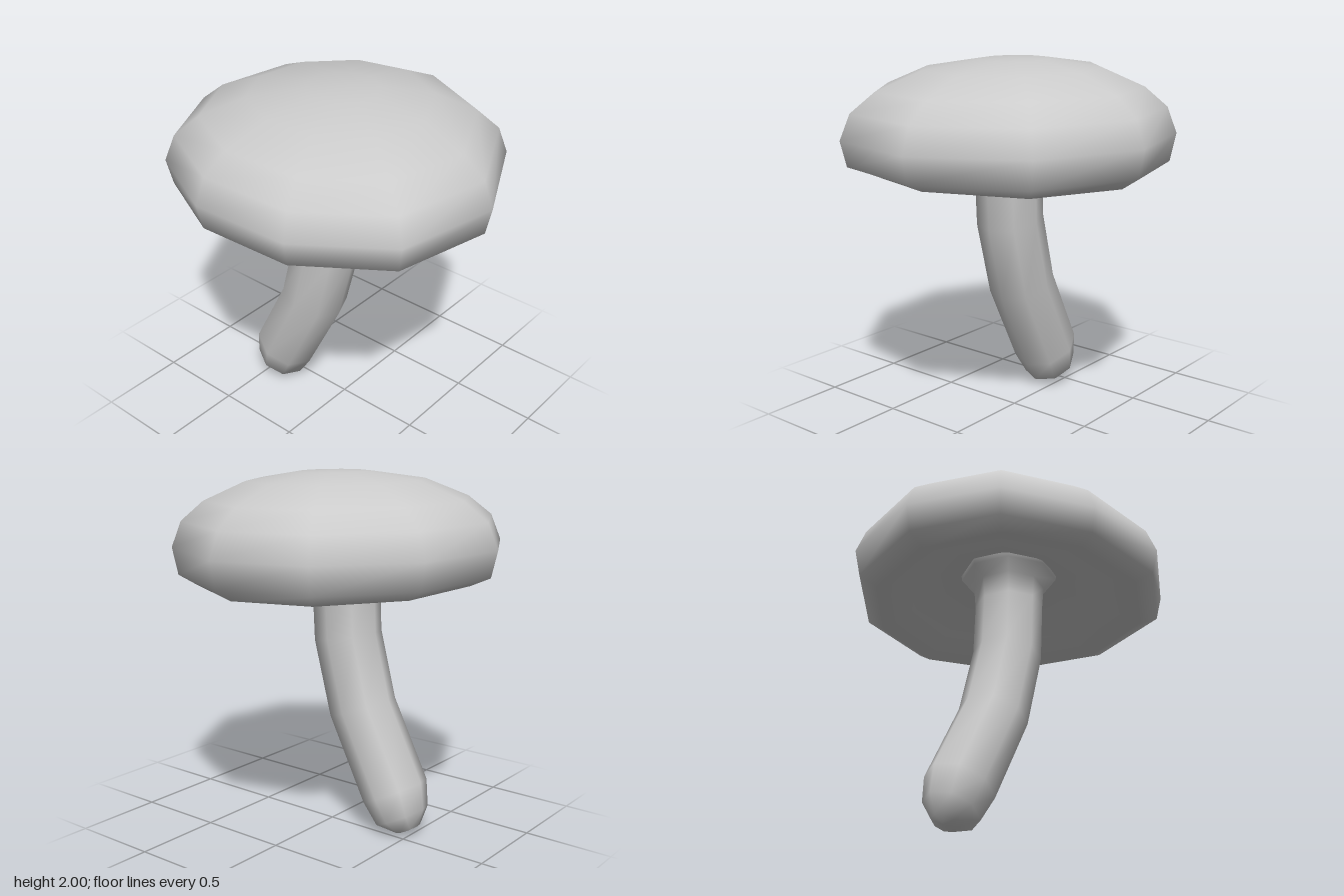
import * as THREE from 'three';
import { mergeVertices } from 'three/addons/utils/BufferGeometryUtils.js';

const material = new THREE.MeshStandardMaterial({ color: 0xcccccc });

// Skin a list of closed rings (ordered bottom to top) with smooth normals.
function loft(name, rings) {
  const n = rings[0].length;
  const index = [];
  for (let i = 0; i < rings.length - 1; i++) {
    for (let j = 0; j < n; j++) {
      const a = i * n + j, b = i * n + (j + 1) % n;
      index.push(a, a + n, b, b, a + n, b + n);
    }
  }
  let geometry = new THREE.BufferGeometry();
  geometry.setAttribute('position', new THREE.Float32BufferAttribute(rings.flat(2), 3));
  geometry.setIndex(index);
  geometry = mergeVertices(geometry);
  geometry.computeVertexNormals();
  const mesh = new THREE.Mesh(geometry, material);
  mesh.name = name;
  return mesh;
}

// Cap: an uneven ten-sided outline scaled through a hollow-bottomed profile.
function createCap() {
  const outline = [
    [-0.21, -0.91], [0.34, -0.83], [0.75, -0.45], [0.875, 0.07], [0.61, 0.62],
    [0.04, 0.905], [-0.53, 0.79], [-0.85, 0.35], [-0.88, -0.2], [-0.66, -0.67],
  ];
  // scale, height, sideways tilt
  const profile = [
    [0, 1.61, 0], [0.36, 1.6, 0], [0.64, 1.5, -0.01], [0.85, 1.41, -0.03],
    [0.965, 1.46, -0.01], [1, 1.605, 0], [0.94, 1.745, 0], [0.8, 1.85, 0],
    [0.54, 1.95, 0], [0.22, 1.995, 0], [0, 2, 0],
  ];
  return loft('cap', profile.map(([s, y, tilt]) =>
    outline.map(([x, z]) => [x * s, y + (tilt * x - 0.015 * z) * s, z * s])));
}

// Stem: a bent tube with a rounded foot and a collar flaring under the cap.
function createStem() {
  const sides = 8;
  // height, z, radius, lean towards the front in radians
  const stations = [
    [0.022, -0.49, 0, 0.48], [0.03, -0.485, 0.07, 0.48], [0.1, -0.44, 0.155, 0.46],
    [0.235, -0.39, 0.19, 0.46], [0.685, -0.16, 0.19, 0.35], [1.085, -0.055, 0.19, 0.18],
    [1.4, -0.04, 0.19, 0], [1.52, -0.04, 0.2, 0], [1.575, -0.04, 0.27, 0],
    [1.65, -0.04, 0.28, 0],
  ];
  return loft('stem', stations.map(([y, z, r, lean]) =>
    Array.from({ length: sides }, (_, j) => {
      const t = (j / sides) * Math.PI * 2;
      const d = r * Math.sin(t);
      return [-0.075 + r * Math.cos(t), y - d * Math.sin(lean), z + d * Math.cos(lean)];
    })));
}

export function createModel() {
  const group = new THREE.Group();
  group.name = 'mushroom';
  group.add(createStem(), createCap());
  return group;
}
